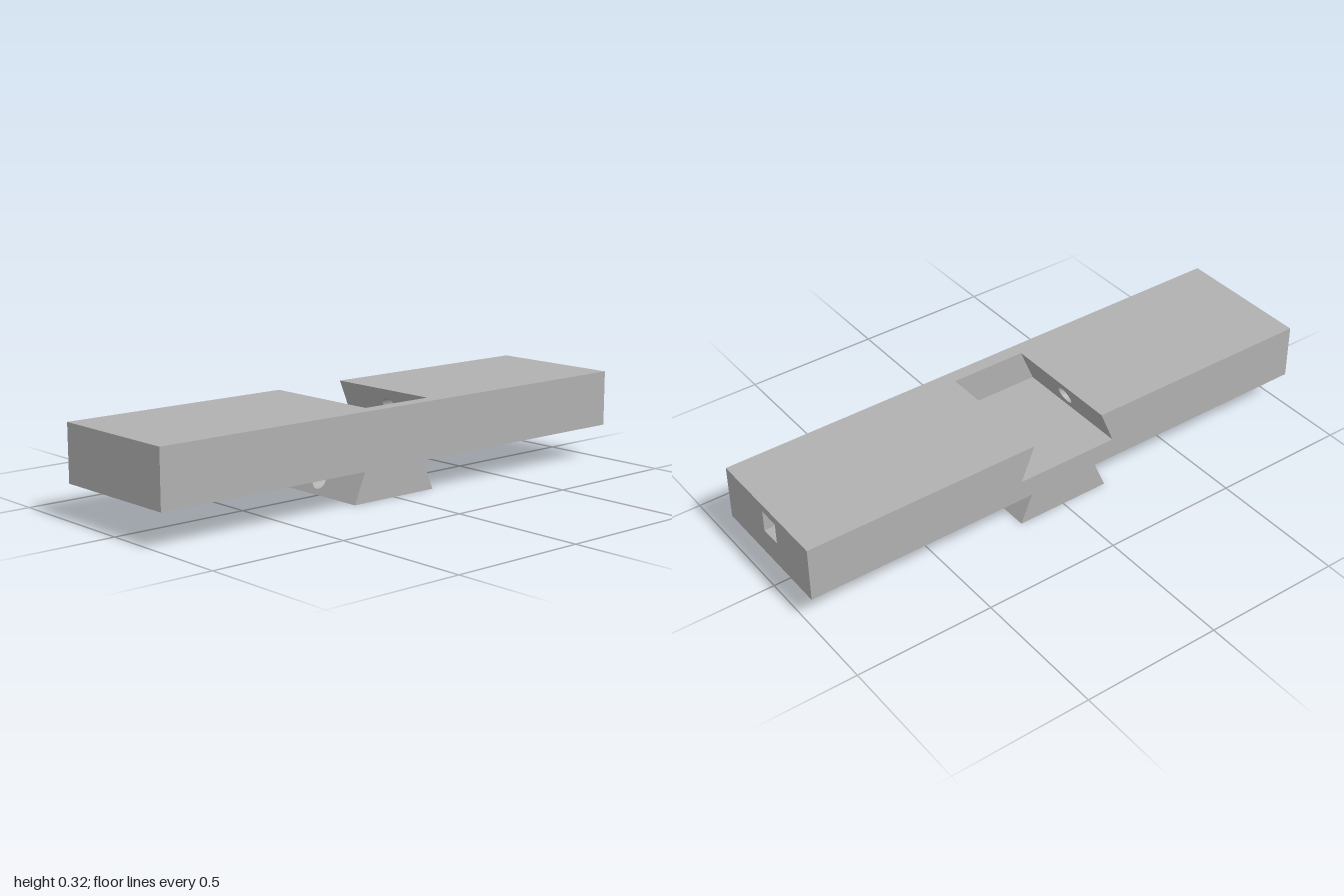
import * as THREE from 'three';
import { toCreasedNormals } from 'three/addons/utils/BufferGeometryUtils.js';

const BORE_Z = -0.016; // all bores share this axis position

export function createModel() {
  const grey = new THREE.MeshStandardMaterial({ color: 0xb0b0b0 });
  grey.name = 'grey';
  const model = new THREE.Group();
  model.name = 'dovetailBar';

  const roundHole = (y) => new THREE.Path().absarc(-BORE_Z, y, 0.0325, 0, Math.PI * 2, true);
  const squareHole = (y, h = 0.039) => new THREE.Path([
    [-1, -1], [-1, 1], [1, 1], [1, -1],
  ].map(([a, b]) => new THREE.Vector2(-BORE_Z + a * h, y + b * h)));

  // Block along x with an optional hole; each end's x is a function of y so it can slant
  function block(name, [y0, y1], [z0, z1], startX, endX, hole) {
    const shape = new THREE.Shape([
      new THREE.Vector2(-z1, y0), new THREE.Vector2(-z0, y0),
      new THREE.Vector2(-z0, y1), new THREE.Vector2(-z1, y1),
    ]);
    if (hole) shape.holes.push(hole);
    const geo = new THREE.ExtrudeGeometry(shape, { depth: 1, bevelEnabled: false, curveSegments: 32 });
    geo.rotateY(Math.PI / 2);
    const p = geo.attributes.position;
    for (let i = 0; i < p.count; i++) {
      const y = p.getY(i);
      p.setX(i, p.getX(i) < 0.5 ? startX(y) : endX(y));
    }
    const mesh = new THREE.Mesh(toCreasedNormals(geo, 0.5), grey);
    mesh.name = name;
    model.add(mesh);
  }

  const at = (x) => () => x;
  const slotWall = (y) => 0.14 + (0.325 - y) * 0.41; // undercut socket side
  const tailWall = (y) => 0.178 - y * 0.424;         // flared tail side
  const upper = [0.2, 0.325], slotZ = [-0.25, 0.2];

  // Bar: front rail and floor under the socket
  block('frontRail', [0.125, 0.325], [0.2, 0.25], at(-1), at(1));
  block('socketFloor', [0.125, 0.2], slotZ, at(-1), at(1));

  // Left cheek: round bore opening into a square pocket at the end
  block('leftCheekInner', upper, slotZ, slotWall, at(0.4), roundHole(0.258));
  block('leftCheekOuter', upper, slotZ, at(0.4), at(1), squareHole(0.258));

  // Right cheek: blind round bore
  block('rightCheekInner', upper, slotZ, at(-0.45), (y) => -slotWall(y), roundHole(0.258));
  block('rightCheekOuter', upper, slotZ, at(-1), at(-0.45));

  // Dovetail tail below, bored through
  block('dovetailTail', [0, 0.125], [-0.23, 0.19], (y) => -tailWall(y), tailWall, roundHole(0.051));

  return model;
}
